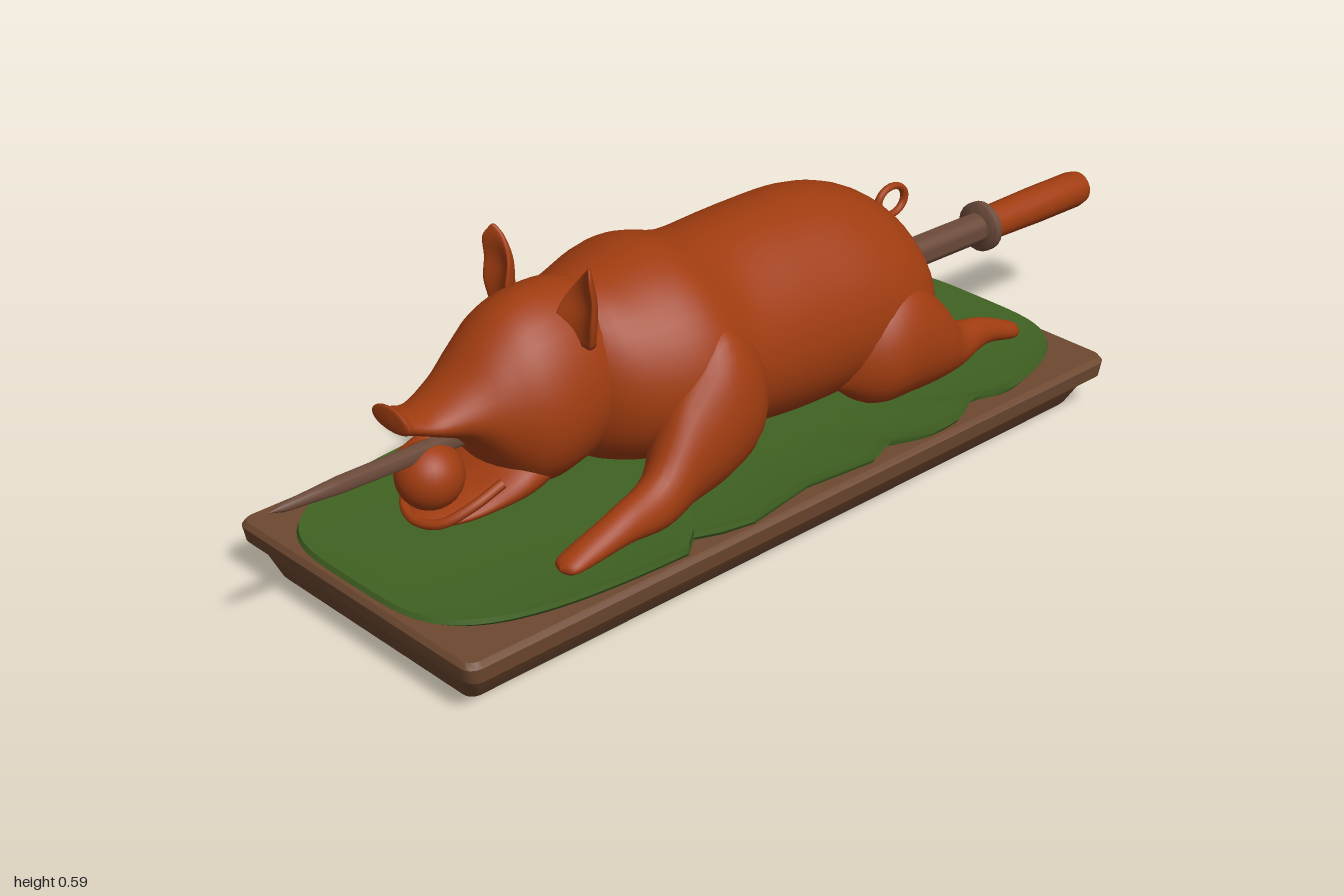
import * as THREE from 'three';
import { toCreasedNormals } from 'three/addons/utils/BufferGeometryUtils.js';

const V = (x, y, z) => new THREE.Vector3(x, y, z);

// Joins equal-length closed rings of points into one smooth surface with capped ends.
function skin(rings) {
  const n = rings[0].length, pos = [], index = [];
  rings.forEach(r => r.forEach(p => pos.push(p.x, p.y, p.z)));
  for (let j = 0; j < rings.length - 1; j++) {
    for (let i = 0; i < n; i++) {
      const a = j * n + i, b = j * n + (i + 1) % n;
      index.push(a, b, a + n, b, b + n, a + n);
    }
  }
  const cap = (ring, start, flip) => {
    const c = ring.reduce((s, p) => s.add(p), V(0, 0, 0)).divideScalar(n);
    const k = pos.length / 3;
    pos.push(c.x, c.y, c.z);
    for (let i = 0; i < n; i++) {
      const a = start + i, b = start + (i + 1) % n;
      index.push(k, flip ? b : a, flip ? a : b);
    }
  };
  cap(rings[0], 0, true);
  cap(rings[rings.length - 1], (rings.length - 1) * n, false);
  const g = new THREE.BufferGeometry();
  g.setAttribute('position', new THREE.Float32BufferAttribute(pos, 3));
  g.setIndex(index);
  g.computeVertexNormals();
  return g;
}

// Oval sections along z: [z, centre x, top y, bottom y, half width]; taper narrows the upper half.
function loft(sections, side = 1, taper = 0, sides = 32) {
  const curve = f => new THREE.CatmullRomCurve3(sections.map(f), false, 'catmullrom', 0.5);
  const a = curve(s => V(s[0], s[2], s[3])), b = curve(s => V(s[1] * side, s[4], 0));
  const steps = (sections.length - 1) * 5, rings = [];
  for (let j = 0; j <= steps; j++) {
    const p = a.getPoint(j / steps), q = b.getPoint(j / steps);
    const cy = (p.y + p.z) / 2, ry = Math.max((p.y - p.z) / 2, 0.0005), rx = Math.max(q.y, 0.0005);
    rings.push(Array.from({ length: sides }, (_, i) => {
      const t = i / sides * Math.PI * 2, s = Math.sin(t);
      return V(q.x + rx * Math.cos(t) * (1 - taper * s), cy + ry * s, p.x);
    }));
  }
  return skin(rings);
}

// Horizontal rounded rectangle, ordered for stacking upward.
function rectRing(y, hx, hz, cz, r) {
  const ring = [];
  for (let c = 0; c < 4; c++) {
    const sx = c === 0 || c === 3 ? 1 : -1, sz = c < 2 ? -1 : 1;
    for (let i = 0; i <= 4; i++) {
      const t = (c + i / 4) * Math.PI / 2;
      ring.push(V(sx * (hx - r) + r * Math.cos(t), y, cz + sz * (hz - r) - r * Math.sin(t)));
    }
  }
  return ring;
}

export function createModel() {
  const roast = new THREE.MeshStandardMaterial({ name: 'roasted orange', color: 0xa03c10 });
  const green = new THREE.MeshStandardMaterial({ name: 'leaf green', color: 0x406222 });
  const wood = new THREE.MeshStandardMaterial({ name: 'tray brown', color: 0x6d4830 });
  const iron = new THREE.MeshStandardMaterial({ name: 'spit brown', color: 0x6b4a3a });
  const model = new THREE.Group();
  model.name = 'roastPigOnTray';
  const add = (name, geometry, material, parent = model) => {
    const m = new THREE.Mesh(geometry, material);
    m.name = name;
    parent.add(m);
    return m;
  };

  // Tray with sloping sides and a raised rim
  const tray = skin([
    [0, 0.26, 0.737, 0.02], [0.006, 0.265, 0.742, 0.02], [0.06, 0.295, 0.762, 0.02],
    [0.07, 0.318, 0.778, 0.025], [0.098, 0.321, 0.783, 0.025], [0.108, 0.313, 0.776, 0.02],
  ].map(([y, hx, hz, r]) => rectRing(y, hx, hz, 0.083, r)));
  add('tray', toCreasedNormals(tray, 0.6), wood);

  // Leaf bed with scalloped long sides and a lifted edge
  const root = v => Math.sign(v) * Math.sqrt(Math.abs(v));
  const leafRing = (y, scale) => Array.from({ length: 160 }, (_, i) => {
    const t = -i / 160 * Math.PI * 2;
    const z = 0.083 + 0.775 * root(Math.sin(t));
    let x = 0.313 * root(Math.cos(t));
    if (z > -0.48 && z < 0.38) {
      x -= Math.sign(x) * 0.032 * Math.abs(Math.cos(Math.PI * (z + 0.13) / 0.24)) ** 4;
    }
    return V(x * scale, y, 0.083 + (z - 0.083) * scale);
  });
  add('leafBed', toCreasedNormals(skin([
    leafRing(0.106, 0.98), leafRing(0.116, 1), leafRing(0.125, 0.995),
    leafRing(0.12, 0.94), leafRing(0.119, 0.5),
  ]), 0.7), green);

  // Trunk
  const pig = new THREE.Group();
  pig.name = 'pig';
  model.add(pig);
  add('trunk', loft([
    [-0.392, 0, 0.32, 0.26, 0.02], [-0.38, 0, 0.41, 0.17, 0.15], [-0.31, 0, 0.475, 0.13, 0.195],
    [-0.2, 0, 0.512, 0.12, 0.205], [-0.05, 0, 0.518, 0.12, 0.202], [0.1, 0, 0.512, 0.14, 0.205],
    [0.21, 0, 0.538, 0.15, 0.225], [0.31, 0, 0.522, 0.16, 0.2], [0.4, 0, 0.5, 0.2, 0.14],
    [0.48, 0, 0.42, 0.3, 0.01],
  ], 1, 0.1, 40), roast, pig);

  // Head and snout
  add('head', loft([
    [0.28, 0, 0.46, 0.34, 0.06], [0.37, 0, 0.517, 0.22, 0.125], [0.45, 0, 0.527, 0.185, 0.143],
    [0.52, 0, 0.513, 0.185, 0.137], [0.575, 0, 0.475, 0.235, 0.11], [0.63, -0.003, 0.42, 0.305, 0.08],
    [0.69, -0.006, 0.386, 0.335, 0.056], [0.735, -0.008, 0.395, 0.352, 0.045],
    [0.753, -0.008, 0.405, 0.36, 0.048], [0.757, -0.008, 0.388, 0.375, 0.01],
  ], 1, 0.12), roast, pig);

  // Lower jaw, lip and the apple held in the mouth
  add('jaw', loft([
    [0.44, 0, 0.28, 0.2, 0.08], [0.54, 0, 0.275, 0.176, 0.105], [0.62, 0, 0.225, 0.172, 0.085],
    [0.68, 0, 0.205, 0.172, 0.065], [0.715, 0, 0.192, 0.177, 0.03], [0.725, 0, 0.186, 0.182, 0.002],
  ]), roast, pig);
  const lip = new THREE.CatmullRomCurve3([
    V(-0.085, 0.24, 0.6), V(-0.077, 0.215, 0.66), V(-0.05, 0.19, 0.705), V(0, 0.181, 0.72),
    V(0.05, 0.19, 0.705), V(0.077, 0.215, 0.66), V(0.085, 0.24, 0.6),
  ]);
  add('lip', new THREE.TubeGeometry(lip, 32, 0.009, 8), roast, pig);
  add('apple', new THREE.SphereGeometry(0.06, 28, 20), roast, pig).position.set(-0.008, 0.25, 0.68);

  for (const side of [1, -1]) {
    const label = side > 0 ? 'left' : 'right';
    // Front leg stretched forward from the shoulder
    add(label + 'FrontLeg', loft([
      [0.07, 0.17, 0.31, 0.24, 0.005], [0.14, 0.165, 0.4, 0.17, 0.075], [0.21, 0.168, 0.43, 0.135, 0.093],
      [0.3, 0.19, 0.34, 0.128, 0.068], [0.38, 0.22, 0.235, 0.125, 0.044], [0.47, 0.23, 0.2, 0.135, 0.034],
      [0.55, 0.23, 0.17, 0.127, 0.03], [0.59, 0.23, 0.153, 0.127, 0.025], [0.603, 0.23, 0.142, 0.135, 0.002],
    ], side, 0.1, 24), roast, pig);

    // Hind leg stretched backward from the thigh
    add(label + 'HindLeg', loft([
      [-0.61, 0.165, 0.147, 0.138, 0.002], [-0.59, 0.165, 0.163, 0.128, 0.019],
      [-0.51, 0.162, 0.197, 0.142, 0.024], [-0.43, 0.16, 0.218, 0.125, 0.042],
      [-0.37, 0.157, 0.29, 0.12, 0.066], [-0.28, 0.15, 0.36, 0.12, 0.087],
      [-0.19, 0.15, 0.33, 0.13, 0.077], [-0.11, 0.15, 0.25, 0.19, 0.005],
    ], side, 0.1, 24), roast, pig);

    // Upright ear: lofted along its height, then cupped forward at the rims
    const ear = loft([
      [0.45, 0.105, -0.425, -0.455, 0.028], [0.49, 0.103, -0.422, -0.452, 0.038],
      [0.53, 0.107, -0.423, -0.445, 0.034], [0.57, 0.119, -0.432, -0.447, 0.02],
      [0.592, 0.124, -0.438, -0.444, 0.003],
    ], side, 0, 24).rotateX(-Math.PI / 2);
    const p = ear.attributes.position;
    for (let i = 0; i < p.count; i++) {
      const d = (Math.abs(p.getX(i)) - 0.108) / 0.035;
      p.setZ(i, p.getZ(i) - 0.012 + 0.022 * d * d);
    }
    ear.computeVertexNormals();
    add(label + 'Ear', ear, roast, pig);
  }

  // Curled tail
  const tail = add('tail', new THREE.TorusGeometry(0.036, 0.008, 10, 28), roast, pig);
  tail.scale.y = 0.8;
  tail.rotation.y = Math.PI / 2;
  tail.position.set(0, 0.415, -0.422);

  // Spit: tapered rod, collar and grip, all turned about one slightly tilted axis
  const spit = new THREE.Group();
  spit.name = 'spit';
  spit.position.set(-0.008, 0.287, 0);
  spit.rotation.x = -0.0175;
  model.add(spit);
  const turned = pts => toCreasedNormals(
    new THREE.LatheGeometry(pts.map(([r, z]) => new THREE.Vector2(r, z)), 20).rotateX(Math.PI / 2), 0.7);
  add('rod', turned([[0, -0.7], [0.03, -0.7], [0.03, -0.38], [0.017, 0.6], [0.015, 0.86], [0.008, 0.97], [0, 1]]), iron, spit);
  add('collar', turned([[0, -0.705], [0.043, -0.705], [0.05, -0.7], [0.05, -0.685], [0.043, -0.68], [0, -0.68]]), iron, spit);
  add('grip', turned([[0, -1], [0.022, -0.998], [0.033, -0.99], [0.037, -0.97], [0.037, -0.85], [0.034, -0.7], [0, -0.7]]), roast, spit);

  return model;
}
